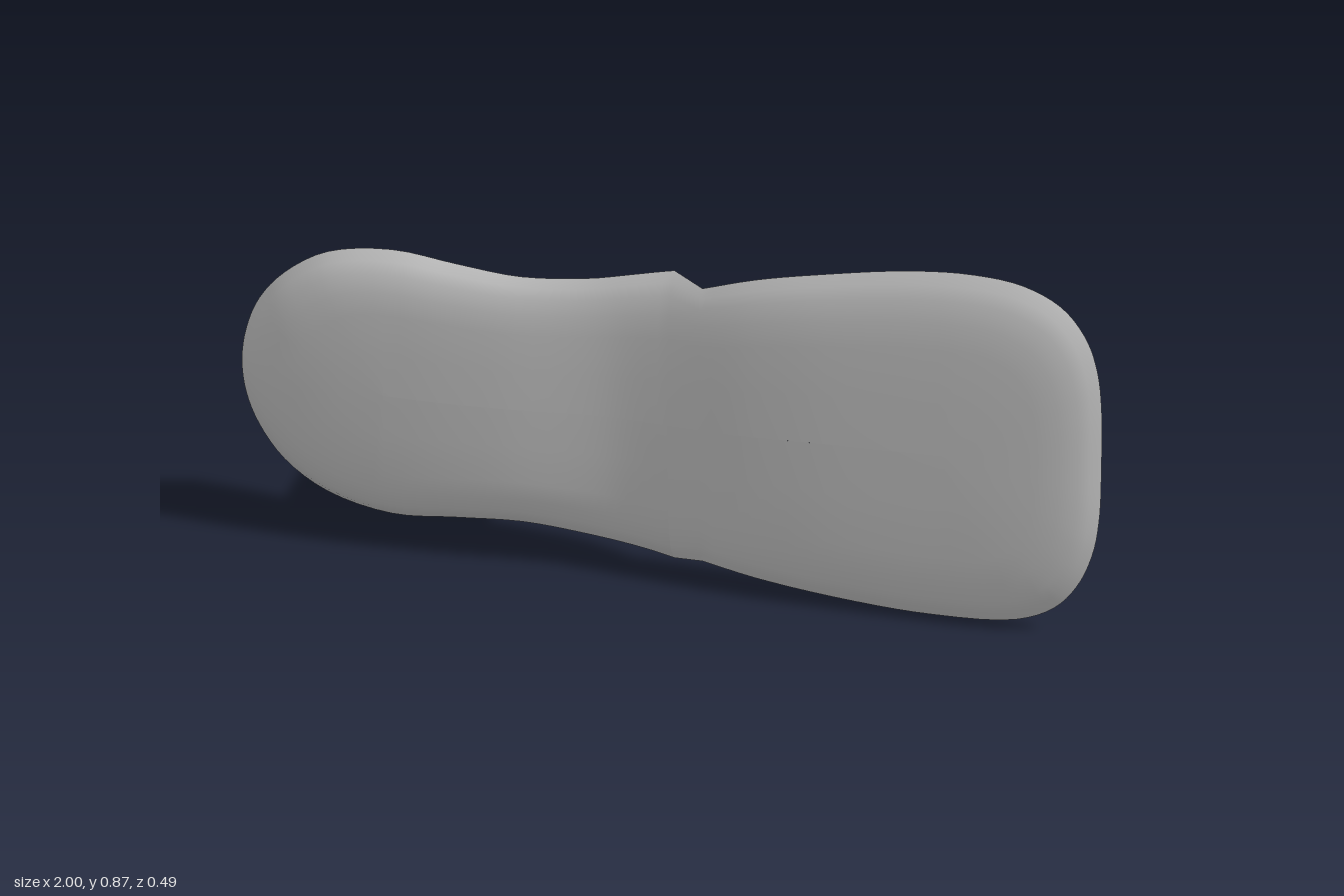
import * as THREE from 'three';
import { toCreasedNormals } from 'three/addons/utils/BufferGeometryUtils.js';

const grey = new THREE.MeshStandardMaterial({ color: 0xbfbfbf });
grey.name = 'plain grey';

// Smooth function y(x) through [x, y] points
function smooth(points) {
  const slope = (i) => {
    const a = points[Math.max(i - 1, 0)], b = points[Math.min(i + 1, points.length - 1)];
    return (b[1] - a[1]) / (b[0] - a[0]);
  };
  return (x) => {
    let i = 0;
    while (i < points.length - 2 && x > points[i + 1][0]) i++;
    const [x0, y0] = points[i], [x1, y1] = points[i + 1];
    const h = x1 - x0, t = THREE.MathUtils.clamp((x - x0) / h, 0, 1);
    const t2 = t * t, t3 = t2 * t;
    return (2 * t3 - 3 * t2 + 1) * y0 + (t3 - 2 * t2 + t) * h * slope(i)
      + (3 * t2 - 2 * t3) * y1 + (t3 - t2) * h * slope(i + 1);
  };
}

// Surface from a grid of points; flip turns the faces round
function gridSurface(cols, rows, pointAt, flip) {
  const position = [], index = [];
  for (let i = 0; i < cols; i++) for (let j = 0; j < rows; j++) position.push(...pointAt(i, j));
  for (let i = 0; i < cols - 1; i++) {
    for (let j = 0; j < rows - 1; j++) {
      const a = i * rows + j, b = a + rows, c = a + 1, d = b + 1;
      if (flip) index.push(a, b, c, c, b, d);
      else index.push(a, c, b, c, d, b);
    }
  }
  const geometry = new THREE.BufferGeometry();
  geometry.setAttribute('position', new THREE.Float32BufferAttribute(position, 3));
  geometry.setIndex(index);
  geometry.computeVertexNormals();
  return geometry;
}

// Plate rim: narrow half, then wide half, clockwise from the front
const spline = (pts) => new THREE.CatmullRomCurve3(
  pts.map(([x, y]) => new THREE.Vector3(x, y, 0)), false, 'centripetal').getPoints(80);
const rim = [
  ...spline([[0, .04], [-.1, .06], [-.2, .075], [-.35, .09], [-.5, .08], [-.65, .067], [-.8, .1],
    [-.9, .165], [-.96, .245], [-.99, .32], [-1, .4], [-.99, .48], [-.96, .56], [-.9, .635],
    [-.8, .702], [-.65, .73], [-.5, .717], [-.35, .705], [-.2, .717], [-.1, .738], [0, .762]]),
  ...spline([[.075, .745], [.2, .785], [.35, .82], [.55, .858], [.7, .87], [.82, .858], [.91, .815],
    [.965, .745], [.99, .67], [1, .58], [1, .43], [.995, .3], [.98, .21], [.945, .125], [.89, .06],
    [.8, .018], [.6, .003], [.4, .012], [.2, .035], [.075, .06]]),
];
rim.push(rim[0]);

// Depth of the back edge and of the front face along the length
const narrowEdge = smooth([[-1, .165], [-.69, .172], [-.4, .175], [-.2, .162], [-.05, .154], [0, .155]]);
const edgeZ = (x) => (x <= 0 ? narrowEdge(x) : Math.min(.155 + x * .035 / .075, .19));
const frontZ = smooth([[-1, .24], [-.6, .243], [-.4, .232], [-.15, .204], [0, .212], [.2, .234], [.4, .244], [1, .244]]);
const midY = smooth([[-1, .398], [0, .4], [.4, .425], [1, .44]]);

// Point on the plate, moved inward from the rim to the centre line by t
function inward(p, t) {
  const sx = THREE.MathUtils.clamp(p.x, -.65, .65);
  return [THREE.MathUtils.lerp(p.x, sx, t), THREE.MathUtils.lerp(p.y, midY(sx), t)];
}

function plate() {
  const group = new THREE.Group();
  group.name = 'footPlate';
  const steps = [0, .06, .13, .25, .4, .7, 1], rise = [0, .33, .6, .8, .92, .985, 1];
  const front = gridSurface(rim.length, steps.length, (i, j) => {
    const [x, y] = inward(rim[i], steps[j]);
    return [x, y, THREE.MathUtils.lerp(edgeZ(x), frontZ(x), rise[j])];
  });
  const back = gridSurface(rim.length, 4, (i, j) => {
    const [x, y] = inward(rim[i], j / 3);
    return [x, y, edgeZ(x)];
  }, true);
  add(group, 'plateFront', front);
  add(group, 'plateBack', toCreasedNormals(back, .3));
  return group;
}

// Curved pad on the back of the narrow half
const padTop = smooth([[-.69, .728], [-.5, .717], [-.35, .705], [-.2, .717], [-.1, .738], [0, .762]]);
const padBottom = smooth([[-.69, .07], [-.5, .08], [-.35, .09], [-.2, .075], [-.1, .06], [0, .04]]);
const padCrest = smooth([[-.69, .073], [-.5, .095], [-.38, .1], [-.2, .093], [-.06, .073], [0, .073]]);
const bulge = (v) => 1 - Math.abs(v) ** 3.8;
const padZ = (x, v) => THREE.MathUtils.lerp(edgeZ(x), padCrest(x), bulge(v));

function padGeometry() {
  const nu = 32, nv = 32;
  return toCreasedNormals(gridSurface(nu + 3, nv + 1, (i, j) => {
    const v = j / nv * 2 - 1;
    const u = THREE.MathUtils.clamp((i - 1) / nu, 0, 1);
    const endX = -.75 * (.155 - .073) * bulge(v); // sloping end face
    const x = i === nu + 2 ? 0 : THREE.MathUtils.lerp(-.69, endX, u);
    const y = THREE.MathUtils.lerp(padBottom(x), padTop(x), (v + 1) / 2);
    const foot = i === 0 || i === nu + 2;
    const edge = i >= nu + 1 ? .155 : edgeZ(x);
    return [x, y, foot ? edge : THREE.MathUtils.lerp(edge, padCrest(x), bulge(v))];
  }), .5);
}

// Profile drawn in (-z, y), extruded along x around the middle of the mount
const EYE_Y = .396, EYE_Z = -.116, MOUNT_X = -.375;
function mountGeometry(shape, width) {
  const hole = new THREE.Path();
  hole.absarc(-EYE_Z, EYE_Y, .07, 0, Math.PI * 2, true);
  shape.holes.push(hole);
  const geometry = new THREE.ExtrudeGeometry(shape, { depth: width, bevelEnabled: false, curveSegments: 32 });
  geometry.rotateY(Math.PI / 2).translate(MOUNT_X - width / 2, 0, 0);
  return toCreasedNormals(geometry, .5);
}

function mount() {
  const group = new THREE.Group();
  group.name = 'mount';
  const block = new THREE.Shape([[-.14, .268], [.152, .268], [.152, .525], [-.14, .525]]
    .map(([x, y]) => new THREE.Vector2(x, y)));
  add(group, 'mountBlock', mountGeometry(block, .25));
  const ring = new THREE.Shape();
  ring.absarc(-EYE_Z, EYE_Y, .129, 0, Math.PI * 2, false);
  add(group, 'mountEye', mountGeometry(ring, .272));
  return group;
}

function add(group, name, geometry) {
  const mesh = new THREE.Mesh(geometry, grey);
  mesh.name = name;
  group.add(mesh);
  return mesh;
}

export function createModel() {
  const model = new THREE.Group();
  model.name = 'pedal';
  model.add(plate(), mount());
  add(model, 'backPad', padGeometry());
  // Thin ribs above and below the mount
  for (const side of [1, -1]) {
    const rib = add(model, side > 0 ? 'upperRib' : 'lowerRib', new THREE.BoxGeometry(.28, .012, .03));
    rib.position.set(-.38, .398 + side * .24, padZ(-.38, .78) + .01);
  }
  return model;
}
